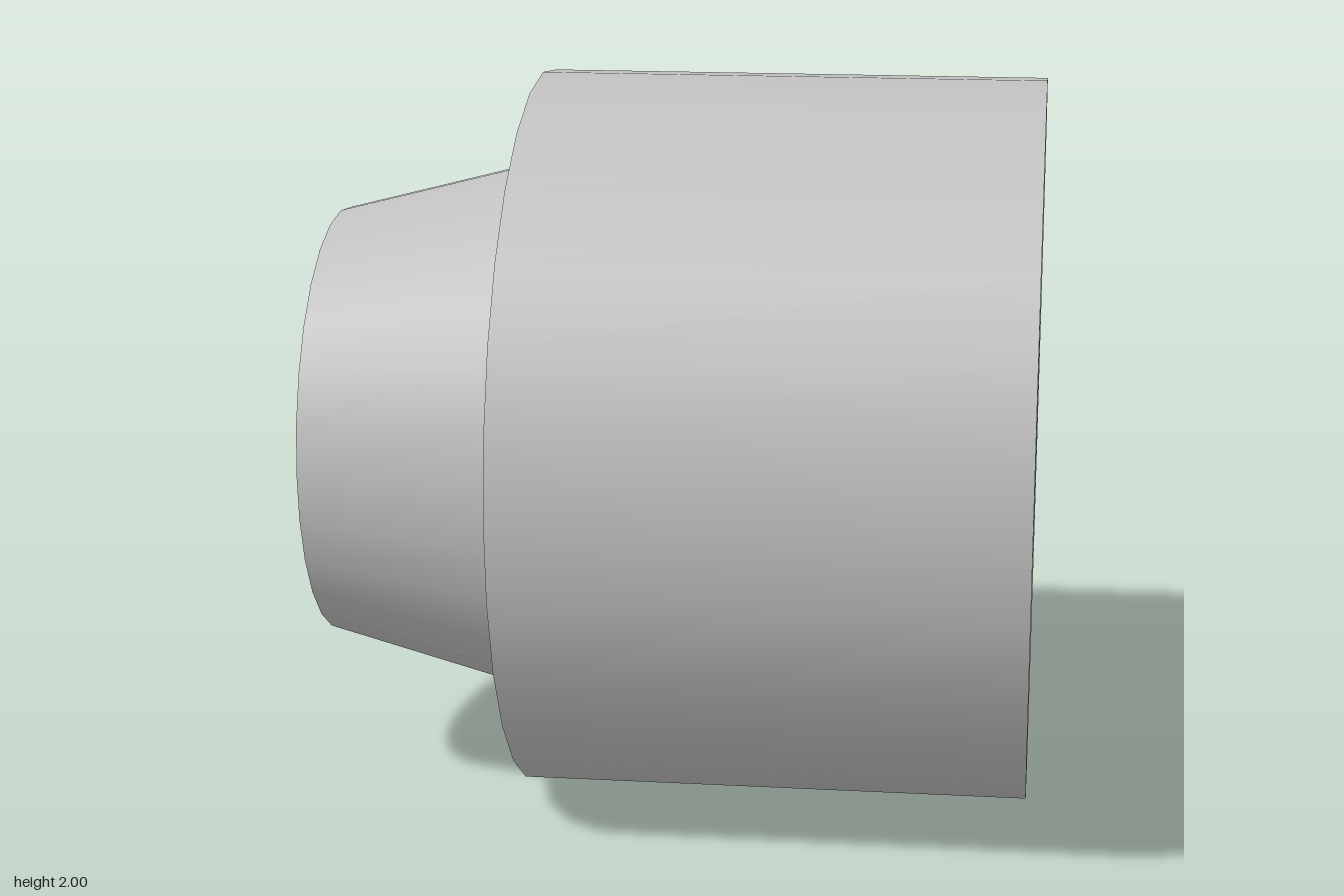
import * as THREE from 'three';

const SIDES = 28;

export function createModel() {
  const grey = new THREE.MeshStandardMaterial({ color: 0xc0c0c0 });
  grey.name = 'plain grey';

  const bushing = new THREE.Group();
  bushing.name = 'steppedBushing';

  // Closed profile as [radius, position along the axis]; each side is its own
  // lathe, so walls shade smoothly and rims stay sharp.
  const profile = [
    ['noseRing', 0.4, -0.98],
    ['taperedNose', 0.6, -0.98],
    ['shoulder', 0.75, -0.4],
    ['bodyWall', 1, -0.4],
    ['endRing', 1, 0.98],
    ['boreWall', 0.4, 0.98],
  ];
  profile.forEach(([name, r, a], i) => {
    const [, r2, a2] = profile[(i + 1) % profile.length];
    const points = [new THREE.Vector2(r, a), new THREE.Vector2(r2, a2)];
    const geometry = new THREE.LatheGeometry(points, SIDES);
    geometry.rotateZ(-Math.PI / 2); // lay the axis along x
    geometry.translate(0, 1, 0);
    const mesh = new THREE.Mesh(geometry, grey);
    mesh.name = name;
    bushing.add(mesh);
  });

  return bushing;
}
